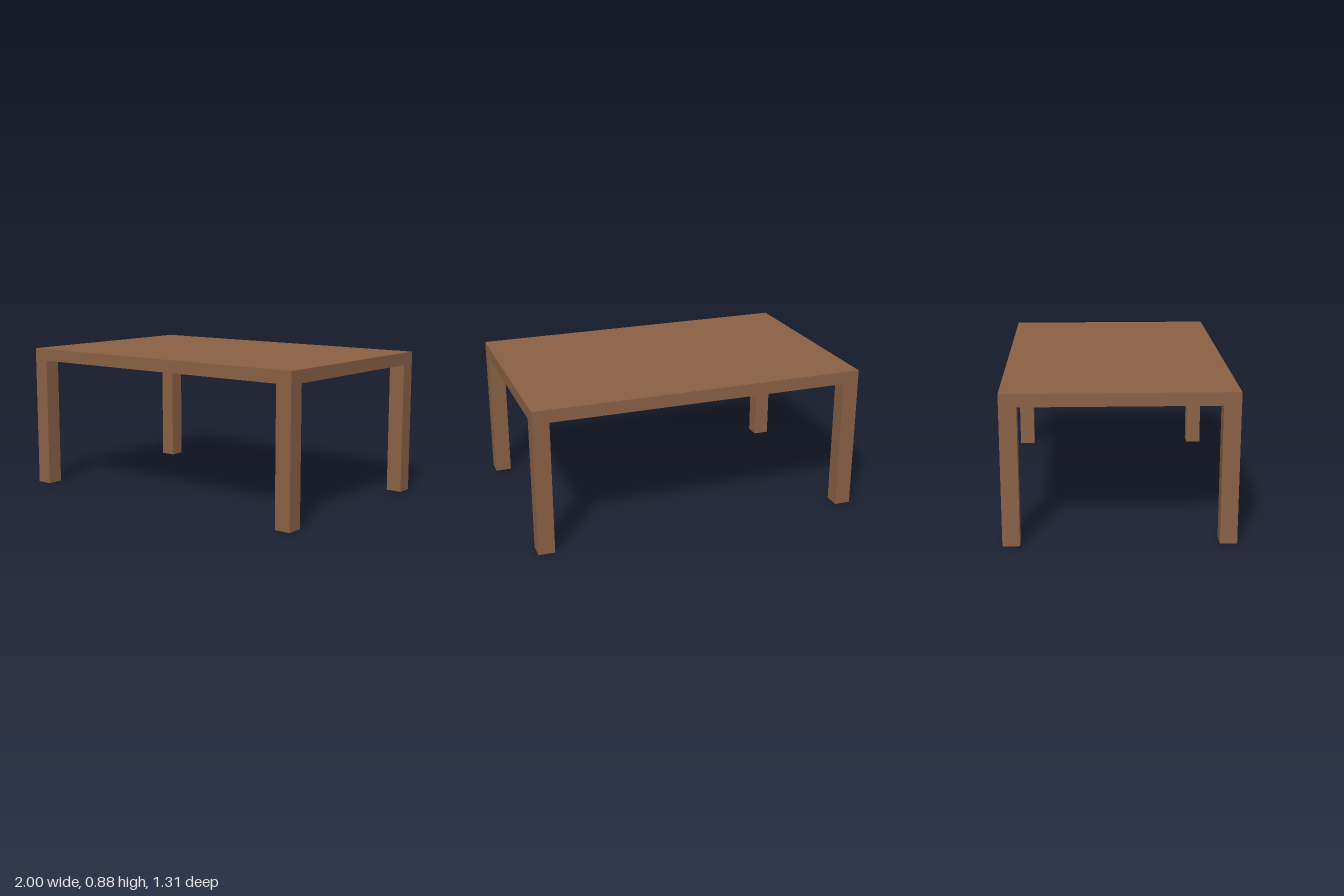
import * as THREE from 'three';

const WIDTH = 2, DEPTH = 1.312, HEIGHT = 0.877;
const TOP = 0.075; // tabletop thickness
const LEG = 0.098; // square leg section

export function createModel() {
  const table = new THREE.Group();
  table.name = 'table';
  const wood = new THREE.MeshStandardMaterial({ color: 0x8b6145 });
  wood.name = 'brown wood';

  const addBox = (name, w, h, d, x, y, z) => {
    const mesh = new THREE.Mesh(new THREE.BoxGeometry(w, h, d), wood);
    mesh.name = name;
    mesh.position.set(x, y, z);
    table.add(mesh);
  };

  // Flat slab top
  addBox('tabletop', WIDTH, TOP, DEPTH, 0, HEIGHT - TOP / 2, 0);

  // Four square legs, flush with the corners
  const legHeight = HEIGHT - TOP;
  for (const [side, sx] of [['Left', 1], ['Right', -1]]) {
    for (const [end, sz] of [['front', 1], ['back', -1]]) {
      addBox(`${end}${side}Leg`, LEG, legHeight, LEG,
        sx * (WIDTH - LEG) / 2, legHeight / 2, sz * (DEPTH - LEG) / 2);
    }
  }
  return table;
}
